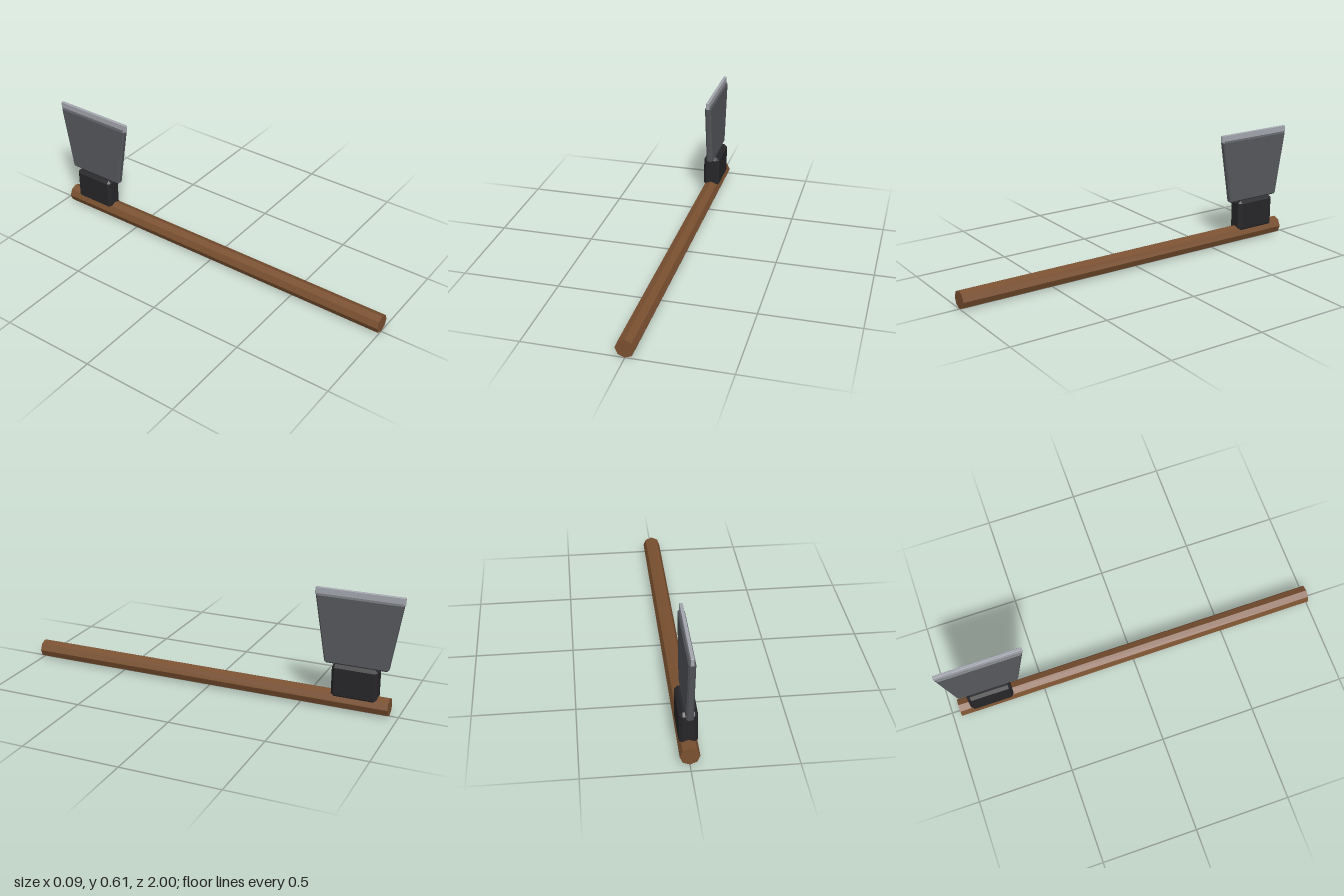
import * as THREE from 'three';
import { ConvexGeometry } from 'three/addons/geometries/ConvexGeometry.js';

const HEAD_Z = -0.778;

// Block with all edges chamfered by b; half depth runs from zBottom to zTop
function chamferedBlock(halfX, y0, y1, zBottom, zTop, b) {
  const mid = (y0 + y1) / 2, halfY = (y1 - y0) / 2;
  const points = [];
  for (const sx of [-1, 1]) for (const sy of [-1, 1]) for (const sz of [-1, 1]) {
    for (let full = 0; full < 3; full++) {
      const inset = [b, b, b];
      inset[full] = 0;
      const y = mid + sy * (halfY - inset[1]);
      const halfZ = THREE.MathUtils.mapLinear(y, y0, y1, zBottom, zTop);
      points.push(new THREE.Vector3(sx * (halfX - inset[0]), y, HEAD_Z + sz * (halfZ - inset[2])));
    }
  }
  return new ConvexGeometry(points);
}

export function createModel() {
  const group = new THREE.Group();
  const add = (name, geometry, color) => {
    const material = new THREE.MeshStandardMaterial({ color, flatShading: true });
    const mesh = new THREE.Mesh(geometry, material);
    mesh.name = name;
    group.add(mesh);
  };

  // Octagonal wooden handle lying along z
  const handle = new THREE.CylinderGeometry(0.047, 0.047, 1.954, 8);
  handle.rotateX(Math.PI / 2).translate(0, 0.047, 0.023);
  add('handle', handle, 0x7a5030);

  // Dark socket gripping the handle
  add('socket', chamferedBlock(0.044, 0.065, 0.24, 0.116, 0.116, 0.016), 0x27272a);

  // Blade flaring outwards to the cutting edge
  add('blade', chamferedBlock(0.017, 0.232, 0.582, 0.161, 0.219, 0.008), 0x56585d);

  // Bright cutting strip
  add('cuttingEdge', chamferedBlock(0.008, 0.575, 0.613, 0.222, 0.222, 0.0015), 0xa4a7af);

  return group;
}
